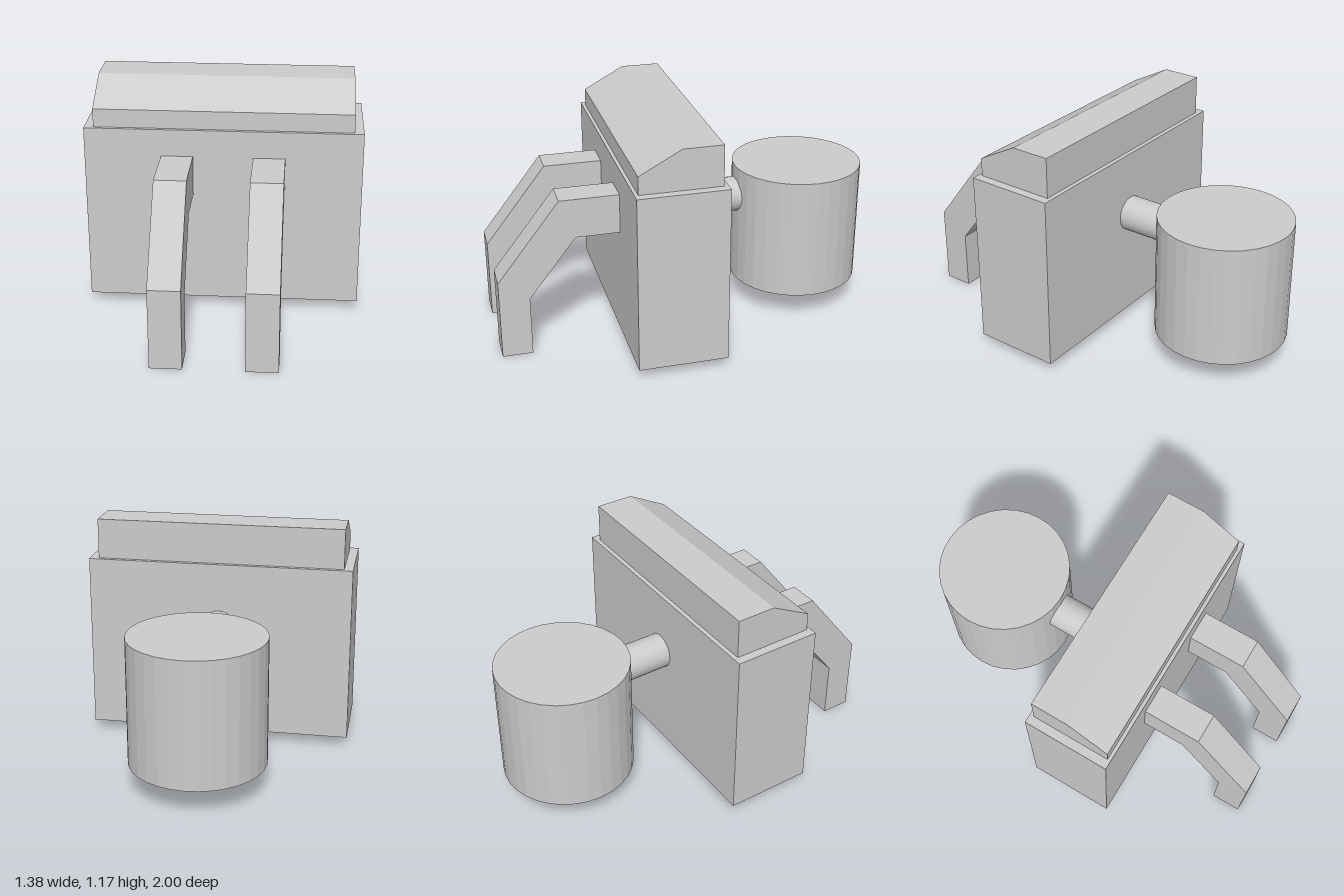
import * as THREE from 'three';

const material = new THREE.MeshStandardMaterial({ color: 0xcccccc, flatShading: true });

function addPart(group, name, geometry, x = 0, y = 0, z = 0) {
  const mesh = new THREE.Mesh(geometry, material);
  mesh.name = name;
  mesh.position.set(x, y, z);
  group.add(mesh);
  return mesh;
}

// Extrudes a side profile of [z, y] points along x, centred on x = 0
function sideProfile(points, width) {
  const shape = new THREE.Shape(points.map(([z, y]) => new THREE.Vector2(z, y)));
  const geometry = new THREE.ExtrudeGeometry(shape, { depth: width, bevelEnabled: false });
  return geometry.translate(0, 0, -width / 2).rotateY(-Math.PI / 2);
}

export function createModel() {
  const group = new THREE.Group();
  group.name = 'model';

  // Main block
  addPart(group, 'body', new THREE.BoxGeometry(1.376, 0.917, 0.456), 0, 0.5085, 0.15);

  // Lid with a sloping front
  const lid = [[0.36, 0.96], [0.36, 1.06], [0.147, 1.175], [-0.055, 1.175], [-0.055, 0.96]];
  addPart(group, 'lid', sideProfile(lid, 1.284));

  // Pair of bent arms reaching forward and down
  const arm = [
    [0.37, 0.829], [0.68, 0.829], [1, 0.417], [1, 0],
    [0.845, 0], [0.845, 0.312], [0.603, 0.624], [0.37, 0.624],
  ];
  for (const side of [-1, 1]) {
    addPart(group, side > 0 ? 'leftArm' : 'rightArm', sideProfile(arm, 0.158), side * 0.228);
  }

  // Rear tank and the pipe that carries it
  addPart(group, 'tank', new THREE.CylinderGeometry(0.343, 0.343, 0.645, 32), 0, 0.463, -0.657);
  const pipe = new THREE.CylinderGeometry(0.092, 0.092, 0.3, 32).rotateX(Math.PI / 2);
  addPart(group, 'pipe', pipe, 0, 0.625, -0.21);

  return group;
}
